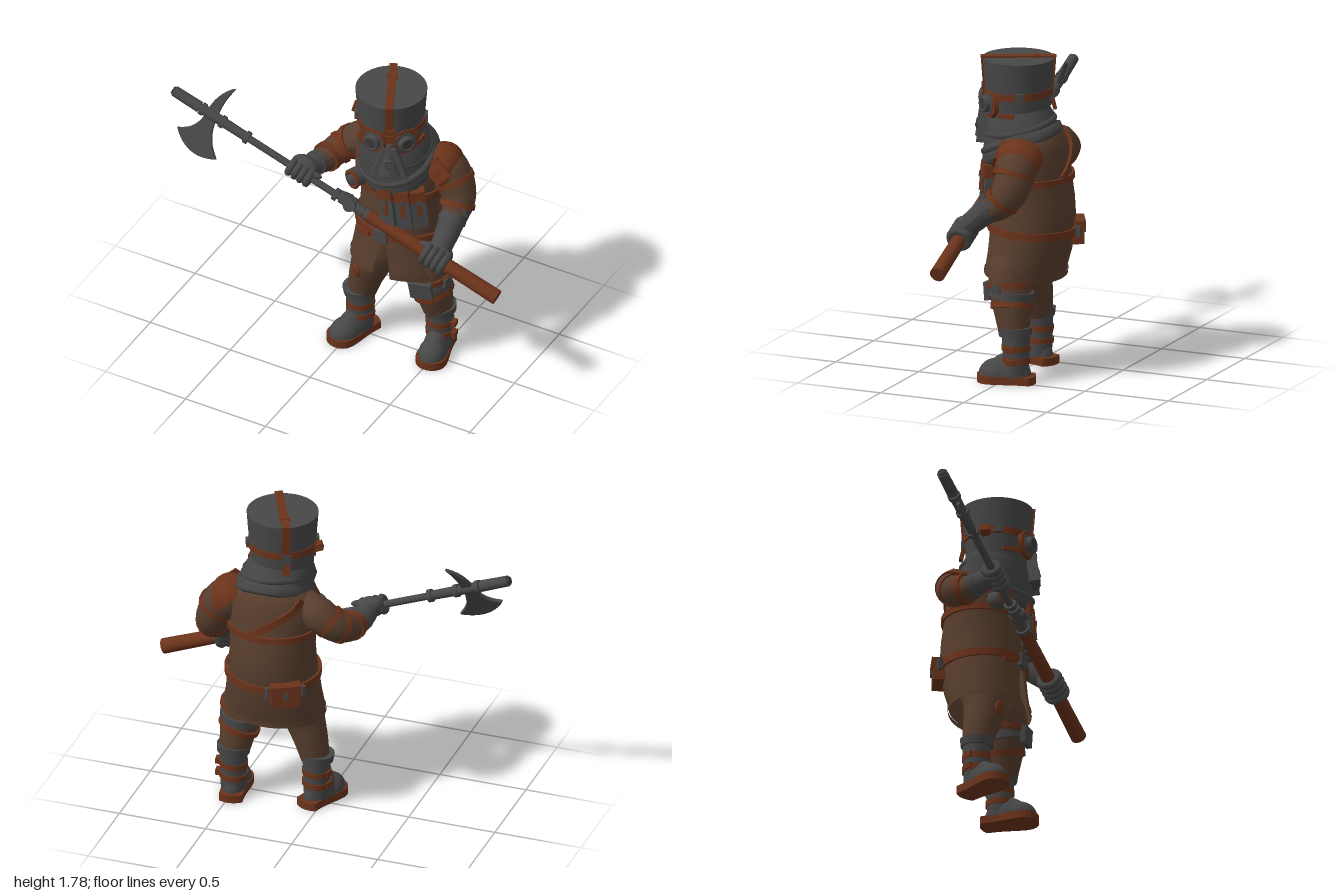
import * as THREE from 'three';

const mat = (name, color, side = THREE.FrontSide) => {
  const m = new THREE.MeshStandardMaterial({ color, side });
  m.name = name;
  return m;
};
const V = (x, y, z) => new THREE.Vector3(x, y, z);
const UP = V(0, 1, 0);

// torso rings: y, centre x, centre z, radius x, radius z
const TORSO = [[0.8, 0.26, -0.072, 0.252, 0.222], [0.9, 0.26, -0.08, 0.243, 0.23], [1.0, 0.26, -0.08, 0.235, 0.225],
  [1.1, 0.26, -0.075, 0.24, 0.212], [1.2, 0.26, -0.07, 0.25, 0.2], [1.28, 0.26, -0.07, 0.25, 0.19],
  [1.35, 0.26, -0.07, 0.21, 0.165], [1.4, 0.26, -0.06, 0.1, 0.12]];

// point on the torso; angle 0 is the front, positive toward +x
function surf(a, y, out = 0) {
  let i = 0;
  while (i < TORSO.length - 2 && TORSO[i + 1][0] < y) i++;
  const A = TORSO[i], B = TORSO[i + 1], t = THREE.MathUtils.clamp((y - A[0]) / (B[0] - A[0]), 0, 1);
  const [, cx, cz, rx, rz] = A.map((v, k) => v + (B[k] - v) * t);
  return V(cx + (rx + out) * Math.sin(a), y, cz + (rz + out) * Math.cos(a));
}

// surface from rows of points
function grid(rows) {
  const pos = [], idx = [], n = rows[0].length;
  rows.forEach(r => r.forEach(p => pos.push(p.x, p.y, p.z)));
  for (let i = 0; i < rows.length - 1; i++) for (let j = 0; j < n - 1; j++) {
    const a = i * n + j, b = a + 1, c = a + n, d = c + 1;
    idx.push(a, b, d, a, d, c);
  }
  const g = new THREE.BufferGeometry();
  g.setAttribute('position', new THREE.Float32BufferAttribute(pos, 3));
  g.setIndex(idx);
  g.computeVertexNormals();
  return g;
}

// elliptical rings stacked upward; each may lower its front (tilt) or leave it open (gap)
function loft(rings, n = 36) {
  return grid(rings.map(([y, cx, cz, rx, rz, tilt = 0, gap = 0]) => Array.from({ length: n + 1 }, (_, j) => {
    const a = gap + (Math.PI * 2 - gap * 2) * j / n;
    return V(cx + rx * Math.sin(a), y - tilt * Math.cos(a), cz + rz * Math.cos(a));
  })));
}

// tube whose radius follows a list
function limbGeo(pts, radii, seg = 24, sides = 16) {
  const path = new THREE.CatmullRomCurve3(pts), g = new THREE.TubeGeometry(path, seg, 1, sides);
  const p = g.attributes.position, v = V(0, 0, 0);
  for (let i = 0; i <= seg; i++) {
    const c = path.getPointAt(i / seg), f = i / seg * (radii.length - 1), k = Math.min(Math.floor(f), radii.length - 2);
    const r = THREE.MathUtils.lerp(radii[k], radii[k + 1], f - k);
    for (let j = 0; j <= sides; j++) {
      const q = i * (sides + 1) + j;
      v.fromBufferAttribute(p, q).sub(c).multiplyScalar(r).add(c);
      p.setXYZ(q, v.x, v.y, v.z);
    }
  }
  g.computeVertexNormals();
  return g;
}

export function createModel() {
  const model = new THREE.Group();
  model.name = 'axeSoldier';
  const grey = mat('iron grey', 0x474747), brown = mat('coat brown', 0x583e2e, THREE.DoubleSide);
  const rust = mat('rust leather', 0x6b331b, THREE.DoubleSide), dark = mat('dark steel', 0x383838);
  const cloth = mat('scarf grey', 0x444444, THREE.DoubleSide);

  const add = (name, g, m, p = [0, 0, 0], r = [0, 0, 0], parent = model) => {
    const o = new THREE.Mesh(g, m);
    o.name = name;
    o.position.set(...p);
    o.rotation.set(...r);
    parent.add(o);
    return o;
  };
  const group = (name, p, r, parent = model) => {
    const g = new THREE.Group();
    g.name = name;
    g.position.set(...p);
    g.rotation.set(...r);
    parent.add(g);
    return g;
  };
  const box = (name, m, s, p, r, parent) => add(name, new THREE.BoxGeometry(...s), m, p, r, parent);
  const cyl = (name, m, r1, r2, h, p, r, parent, n = 20) => add(name, new THREE.CylinderGeometry(r1, r2, h, n), m, p, r, parent);
  const ball = (name, m, s, p, r, parent, arc = Math.PI) => {
    const o = add(name, new THREE.SphereGeometry(1, 18, 12, 0, Math.PI * 2, 0, arc), m, p, r, parent);
    o.scale.set(...s);
    return o;
  };
  const band = (name, m, p, dir, r, h) =>
    cyl(name, m, r, r, h, p).quaternion.setFromUnitVectors(UP, V(...dir).normalize());
  const limb = (name, m, pts, radii) => add(name, limbGeo(pts.map(p => V(...p)), radii), m);

  // strap lying on the torso from (a0,y0) to (a1,y1)
  const strap = (name, a0, y0, a1, y1, w, out = 0.002) => {
    const n = 32, rows = [];
    const at = (t, o) => surf(a0 + (a1 - a0) * t, y0 + (y1 - y0) * t, o);
    for (let i = 0; i <= n; i++) {
      const t = i / n, p = at(t, out), nor = at(t, out + 0.1).sub(p).normalize();
      const side = at(t + 0.01, out).sub(at(t - 0.01, out)).cross(nor).normalize().multiplyScalar(w / 2);
      nor.multiplyScalar(0.014);
      const lo = p.clone().sub(side), hi = p.clone().add(side), lo2 = lo.clone().add(nor), hi2 = hi.clone().add(nor);
      rows.push([lo, lo2, lo2, hi2, hi2, hi]);
    }
    add(name, grid(rows), rust);
  };

  // coat, skirt and belts
  add('coat', loft(TORSO), brown);
  add('coatSkirt', loft([[0.575, 0.26, -0.035, 0.28, 0.212, 0, 0.2], [0.6, 0.26, -0.037, 0.279, 0.213, 0, 0.19],
    [0.7, 0.26, -0.06, 0.268, 0.222, 0, 0.13], [0.85, 0.26, -0.075, 0.25, 0.226, 0, 0.03]]), brown);
  add('skirtHem', loft([[0.568, 0.26, -0.035, 0.284, 0.216, -0.015, 0.2], [0.595, 0.26, -0.037, 0.284, 0.217, -0.015, 0.19]]), brown);
  for (const s of [-1, 1]) strap('belt', 0, 0.855, s * Math.PI, 0.815, 0.042, 0.006);
  strap('chestStrap', -Math.PI, 1.12, Math.PI, 1.12, 0.035);
  strap('backStrap', -2.1, 1.34, -3.4, 1.13, 0.045);
  strap('rightHarness', -0.95, 1.37, -0.7, 1.13, 0.055, 0.014);
  strap('leftHarness', 0.8, 1.36, 0.5, 1.12, 0.04);
  box('buckle', grey, [0.08, 0.07, 0.025], [0.255, 0.848, 0.165]);
  box('beltTongue', rust, [0.1, 0.03, 0.015], [0.135, 0.82, 0.145], [0, -0.35, 0.25]);
  const pouch = group('backPouch', [0.12, 0.795, -0.275], [0, Math.PI + 0.5, 0]);
  const O = [0, 0, 0];
  box('pouchBody', rust, [0.16, 0.12, 0.075], O, O, pouch);
  box('pouchFlap', rust, [0.17, 0.05, 0.085], [0, 0.045, 0.003], O, pouch);
  box('pouchClasp', grey, [0.03, 0.035, 0.012], [0, 0.01, 0.044], O, pouch);
  [-1, 1].forEach(s => box('pouchLoop', grey, [0.02, 0.06, 0.03], [s * 0.1, 0.02, 0.0], [0, s * 0.3, 0], pouch));

  // chest pouches and round canister
  [0.15, 0.48, 0.8].forEach((a, i) => {
    const p = surf(a, 1.08, 0.03);
    const g = group('chestPouch' + (i + 1), [p.x, p.y, p.z], [-0.08, a * 0.8, 0.15]);
    box('magazine', grey, [0.08, 0.22, 0.07], [0, -0.01, 0], O, g);
    box('flap', rust, [0.082, 0.07, 0.08], [0, 0.085, 0.003], O, g);
    box('flapStrap', rust, [0.026, 0.12, 0.008], [0, 0.02, 0.04], O, g);
    box('stud', grey, [0.024, 0.024, 0.008], [0, 0.05, 0.046], O, g);
  });
  cyl('canister', grey, 0.055, 0.055, 0.09, [0.08, 1.16, 0.11], [Math.PI / 2, 0, 0.4]);
  add('canisterRim', new THREE.TorusGeometry(0.045, 0.012, 8, 24), rust, [0.07, 1.16, 0.15], [0, -0.4, 0]);
  ball('canisterKnob', grey, [0.034, 0.034, 0.018], [0.068, 1.16, 0.155]);

  // scarf, hanging low in front
  add('scarf', loft([[1.29, 0.27, -0.03, 0.13, 0.14, 0.1], [1.262, 0.275, -0.025, 0.205, 0.21, 0.108], [1.29, 0.272, -0.02, 0.225, 0.222, 0.1],
    [1.345, 0.262, -0.01, 0.214, 0.21, 0.08], [1.36, 0.26, 0, 0.198, 0.195, 0.06], [1.41, 0.252, 0.01, 0.205, 0.19, 0.05],
    [1.46, 0.245, 0.015, 0.178, 0.172, 0.03], [1.5, 0.24, 0.02, 0.165, 0.165, 0.02]]), cloth);
  [[1.315, 0.205, 0.42], [1.395, 0.185, 0.2]].forEach(([y, r, tilt], i) =>
    add('scarfFold' + i, new THREE.TorusGeometry(r, 0.022, 8, 40), cloth, [0.26, y, 0], [Math.PI / 2 + tilt, 0.1 - i * 0.2, 0]));

  // head, helmet and mask
  const head = group('head', [0.24, 0, 0.02], [0, 0.45, 0]);
  const H = (n, m, s, p, r = O) => box(n, m, s, p, r, head);
  cyl('helmet', grey, 0.197, 0.182, 0.2, [0, 1.67, 0], O, head, 40);
  cyl('hood', grey, 0.182, 0.165, 0.18, [0, 1.49, 0], O, head, 32);
  cyl('helmetBand', rust, 0.19, 0.189, 0.04, [0, 1.582, 0], [0.03, 0, 0], head, 40);
  H('topStrap', rust, [0.045, 0.012, 0.4], [0, 1.774, 0]);
  [1, -1].forEach(s => H(s > 0 ? 'frontStrap' : 'rearStrap', rust, [0.045, 0.21, 0.014], [0, 1.675, s * 0.192], [s * 0.075, 0, 0]));
  H('topBuckle', rust, [0.06, 0.014, 0.035], [0, 1.776, -0.1]);
  H('frontBuckle', rust, [0.06, 0.03, 0.02], [0, 1.61, 0.192]);
  H('rearBuckle', grey, [0.05, 0.06, 0.025], [0, 1.57, -0.185]);
  H('rearTab', rust, [0.04, 0.09, 0.02], [0, 1.52, -0.19], [0.25, 0, 0]);
  H('noseBridge', rust, [0.05, 0.05, 0.03], [0, 1.56, 0.185]);
  const q = [Math.PI / 2, 0, 0];
  for (const s of [-1, 1]) {
    const eye = group(s > 0 ? 'leftGoggle' : 'rightGoggle', [s * 0.083, 1.53, 0.158], [0, s * 0.45, 0], head);
    cyl('frame', rust, 0.08, 0.082, 0.026, [s * 0.008, 0, 0], [Math.PI / 2, Math.PI / 8, 0], eye, 8);
    cyl('plate', grey, 0.063, 0.067, 0.036, O, q, eye, 8);
    cyl('rim', grey, 0.045, 0.05, 0.05, [0, 0, 0.015], q, eye, 24);
    add('ring', new THREE.TorusGeometry(0.037, 0.009, 8, 24), grey, [0, 0, 0.04], O, eye);
    cyl('lens', dark, 0.03, 0.03, 0.008, [0, 0, 0.04], q, eye, 24);
    H('sideBuckle', grey, [0.025, 0.045, 0.045], [s * 0.188, 1.585, 0]);
    H('cheekStrap', rust, [0.014, 0.025, 0.09], [s * 0.165, 1.475, 0.07], [0, s * -0.35, 0]);
    H('snoutCheek', grey, [0.028, 0.2, 0.06], [s * 0.056, 1.405, 0.192], [-0.12, 0, s * 0.32]);
  }
  cyl('snout', grey, 0.022, 0.07, 0.19, [0, 1.42, 0.178], [-0.08, 0, 0], head, 8).scale.z = 0.75;
  cyl('filter', grey, 0.03, 0.038, 0.04, [0, 1.4, 0.208], [1.3, 0, 0], head);
  for (let i = 0; i < 6; i++) ball('filterHole', dark, [0.007, 0.007, 0.006],
    [0.018 * Math.cos(i * 1.047), 1.405 + 0.018 * Math.sin(i * 1.047), 0.227 - 0.005 * Math.sin(i * 1.047)], O, head);
  box('bandKnot', rust, [0.06, 0.04, 0.05], [0.045, 1.575, 0.04], [0, 0.3, -0.3]);

  // sleeves and gloves
  limb('rightSleeve', brown, [[0.08, 1.29, -0.07], [-0.03, 1.23, -0.11], [-0.12, 1.165, -0.08], [-0.17, 1.13, 0.02], [-0.19, 1.135, 0.1]], [0.07, 0.1, 0.09, 0.08, 0.062]);
  limb('leftSleeve', brown, [[0.44, 1.3, -0.08], [0.53, 1.23, -0.105], [0.6, 1.1, -0.09], [0.615, 1.02, -0.03], [0.62, 0.99, 0.03]], [0.08, 0.115, 0.105, 0.09, 0.065]);
  limb('rightGlove', grey, [[-0.188, 1.135, 0.07], [-0.2, 1.14, 0.12], [-0.21, 1.15, 0.2]], [0.066, 0.06, 0.05]);
  limb('leftGlove', grey, [[0.62, 1.02, 0], [0.622, 0.96, 0.07], [0.62, 0.89, 0.15]], [0.075, 0.068, 0.06]);
  band('rightArmStrap', rust, [-0.165, 1.135, 0.01], [-0.2, 0, 1], 0.086, 0.035);
  band('rightElbowStrap', rust, [-0.128, 1.16, -0.068], [-0.7, -0.4, 0.7], 0.093, 0.03);
  band('rightUpperStrap', rust, [-0.075, 1.2, -0.1], [-1, -0.8, 0.1], 0.1, 0.035);
  band('rightCuff', grey, [-0.19, 1.136, 0.09], [-0.15, 0.05, 1], 0.07, 0.025);
  band('leftArmStrap', rust, [0.612, 1.055, -0.055], [0.1, -1, 0.7], 0.1, 0.03);
  band('leftUpperStrap', rust, [0.565, 1.185, -0.1], [0.5, -1, 0.1], 0.116, 0.03);
  band('leftCuff', grey, [0.62, 1.0, 0.02], [0, -0.7, 0.7], 0.079, 0.025);
  box('armBuckle', grey, [0.03, 0.045, 0.05], [0.685, 1.06, -0.02], [0, 0, 0.2]);

  // layered shoulder guard
  [[0.485, 1.255, 0.138, 0.13], [0.505, 1.235, 0.132, 0.118]].forEach(([x, y, r, h], i) =>
    ball('shoulderGuard' + i, rust, [r * 0.85, h, r], [x, y, -0.1], [0, 0, -0.75], model, Math.PI / 2));
  box('shoulderPlate', rust, [0.13, 0.1, 0.015], [0.52, 1.295, 0.012], [-0.35, 0.25, -0.7]);

  // trousers and boots
  limb('rightTrouser', brown, [[0.165, 0.78, -0.05], [0.122, 0.56, 0.0], [0.07, 0.4, -0.005], [0.04, 0.28, -0.01]], [0.115, 0.132, 0.104, 0.08]);
  limb('leftTrouser', brown, [[0.37, 0.78, -0.06], [0.44, 0.56, -0.025], [0.47, 0.4, -0.05], [0.485, 0.28, -0.07]], [0.12, 0.128, 0.11, 0.085]);
  ball('kneePatch', rust, [0.03, 0.045, 0.015], [0.07, 0.5, 0.108], [0.1, -0.35, 0]);
  const outline = new THREE.Shape();
  outline.moveTo(-0.065, -0.1);
  outline.quadraticCurveTo(0, -0.14, 0.065, -0.1);
  outline.bezierCurveTo(0.06, 0, 0.086, 0.06, 0.086, 0.13);
  outline.bezierCurveTo(0.08, 0.235, -0.08, 0.235, -0.086, 0.13);
  outline.bezierCurveTo(-0.086, 0.06, -0.06, 0, -0.065, -0.1);
  const soleGeo = new THREE.ExtrudeGeometry(outline, { depth: 0.045, bevelEnabled: false, curveSegments: 10 }).rotateX(Math.PI / 2).translate(0, 0.045, 0);
  for (const [side, x, z, yaw] of [['right', 0.028, 0, -0.34], ['left', 0.49, -0.07, 0.16]]) {
    const b = group(side + 'Boot', [x, 0, z], [0, yaw, 0]);
    add('sole', soleGeo, rust, O, O, b);
    ball('toe', grey, [0.08, 0.09, 0.1], [0, 0.04, 0.1], O, b, Math.PI / 2);
    ball('instep', grey, [0.074, 0.125, 0.125], [0, 0.04, 0.03], O, b, Math.PI / 2);
    cyl('shaft', grey, 0.078, 0.07, 0.25, [0, 0.165, -0.01], O, b);
    cyl('topCuff', grey, 0.095, 0.09, 0.045, [0, 0.29, -0.005], [0.06, 0, 0.05], b);
    [0.13, 0.2].forEach(y => cyl('ankleStrap', rust, 0.08, 0.08, 0.032, [0, y, -0.01], [0, 0, 0.06], b));
    [0.13, 0.2].forEach(y => box('ankleBuckle', rust, [0.03, 0.032, 0.045], [side === 'left' ? 0.085 : -0.07, y, 0], O, b));
  }

  // left knee guard and wraps
  band('thighStrap', rust, [0.445, 0.545, -0.028], [0.1, -1, -0.1], 0.133, 0.03);
  band('kneeWrap', grey, [0.452, 0.49, -0.034], [0.1, -1, 0.1], 0.124, 0.045);
  band('calfStrap', rust, [0.466, 0.42, -0.045], [0.35, -1, -0.1], 0.118, 0.03);
  box('kneeGuard', grey, [0.13, 0.1, 0.03], [0.465, 0.5, 0.09], [0.1, 0.15, 0.1]);
  box('thighBuckle', grey, [0.025, 0.05, 0.05], [0.57, 0.54, 0.0]);

  // long axe, built along its own x axis
  const axe = group('longAxe', [0, 1.07, 0.21], O);
  axe.rotation.set(-0.5, 0.042, -0.36, 'ZYX');
  const rod = (n, m, x0, x1, r0, r1) => cyl(n, m, r1, r0, x1 - x0, [(x0 + x1) / 2, 0, 0], [0, 0, -Math.PI / 2], axe);
  rod('pole', grey, -0.95, 0.25, 0.02, 0.02);
  rod('headTip', grey, -1.055, -0.89, 0.03, 0.032);
  rod('tipCap', dark, -1.066, -1.03, 0.022, 0.022);
  rod('headSocket', grey, -0.88, -0.58, 0.029, 0.026);
  rod('woodHaft', rust, 0.2, 1.052, 0.035, 0.043);
  [-0.87, -0.74, -0.58, 0.0, 0.2].forEach(x => rod('collar', grey, x - 0.012, x + 0.012, 0.036, 0.036));
  rod('lockBody', grey, 0.03, 0.18, 0.03, 0.03);
  box('lockPlate', grey, [0.08, 0.05, 0.06], [0.08, 0.015, 0.01], O, axe);
  cyl('lockKnob', grey, 0.035, 0.035, 0.09, [0.1, 0, 0.01], q, axe);
  box('lockLever', grey, [0.07, 0.014, 0.02], [0.05, 0.035, 0], [0, 0, 0.2], axe);
  const blade = new THREE.Shape();
  blade.moveTo(-0.03, 0);
  blade.quadraticCurveTo(-0.03, -0.12, -0.125, -0.165);
  blade.quadraticCurveTo(0.0, -0.285, 0.14, -0.2);
  blade.quadraticCurveTo(0.04, -0.13, 0.03, 0);
  blade.quadraticCurveTo(0.012, 0.1, 0.04, 0.195);
  blade.quadraticCurveTo(-0.035, 0.12, -0.03, 0);
  add('axeBlade', new THREE.ExtrudeGeometry(blade, { depth: 0.012, bevelThickness: 0.005, bevelSize: 0.004, bevelSegments: 1 }), grey, [-0.81, 0, -0.006], O, axe);

  // hands wrapped round the haft
  for (const [side, x, r] of [['right', -0.23, 0.038], ['left', 0.65, 0.053]]) {
    const h = group(side + 'Hand', [x, 0, 0], O, axe);
    ball('palm', grey, [0.08, 0.06, 0.05], [0, 0.035, -0.02], O, h);
    for (let i = 0; i < 4; i++)
      add('finger', new THREE.TorusGeometry(r, 0.021, 8, 20), grey, [-0.057 + i * 0.038, 0, 0.003], [0, Math.PI / 2, 0], h);
    ball('thumb', grey, [0.05, 0.02, 0.02], [side === 'right' ? 0.07 : -0.07, r * 0.8, 0.015], [0, 0, 0.2], h);
  }
  return model;
}
